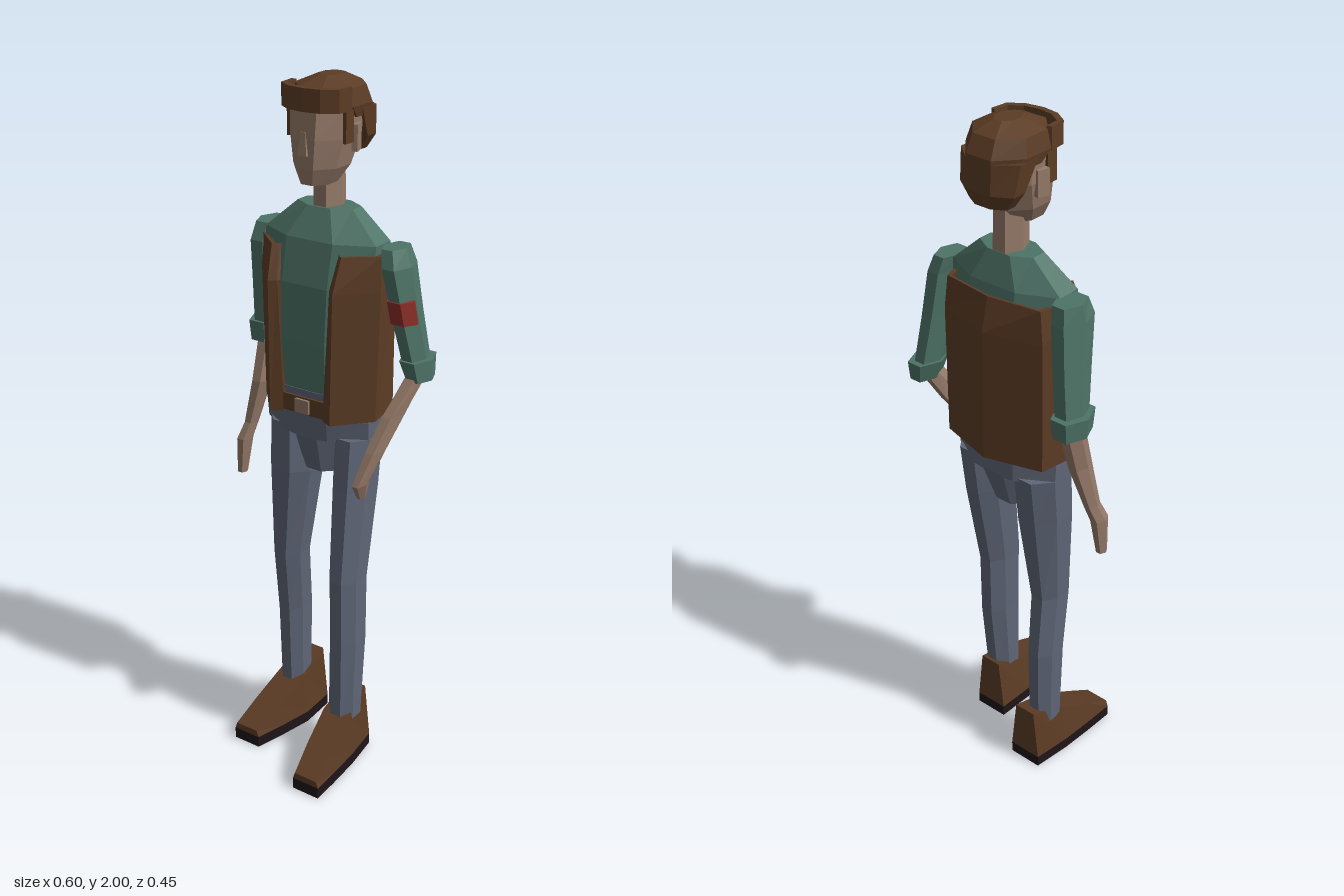
import * as THREE from 'three';

const mat = (name, color) => Object.assign(new THREE.MeshStandardMaterial({ color }), { name });

// Faceted skin over rings of equal, even point count, closed at both ends
function loftGeometry(rings) {
  const pos = [], n = rings[0].length;
  const quad = (a, b, c, d) => [a, b, c, a, c, d].forEach(p => pos.push(...p));
  for (let r = 0; r < rings.length - 1; r++) {
    const lo = rings[r], hi = rings[r + 1];
    for (let i = 0; i < n; i++) {
      const j = (i + 1) % n;
      quad(lo[i], lo[j], hi[j], hi[i]);
    }
  }
  const bottom = rings[0], top = rings[rings.length - 1];
  for (let i = 0; i < n / 2 - 1; i++) {
    quad(top[i], top[i + 1], top[n - 2 - i], top[n - 1 - i]);
    quad(bottom[n - 1 - i], bottom[n - 2 - i], bottom[i + 1], bottom[i]);
  }
  const g = new THREE.BufferGeometry();
  g.setAttribute('position', new THREE.Float32BufferAttribute(pos, 3));
  g.computeVertexNormals();
  return g;
}

// Horizontal polygon ring that fills the box x0..x1, z0..z1
function ring([y, x0, x1, z0, z1], n) {
  const off = n === 6 ? 0 : Math.PI / n;
  const kx = n === 6 ? 1 : Math.cos(off), kz = n === 6 ? Math.sin(Math.PI / 3) : kx;
  return Array.from({ length: n }, (_, i) => {
    const a = off + (i / n) * Math.PI * 2;
    return [
      (x0 + x1) / 2 + ((x1 - x0) / 2) * Math.cos(a) / kx, y,
      (z0 + z1) / 2 - ((z1 - z0) / 2) * Math.sin(a) / kz,
    ];
  });
}

export function createModel() {
  const model = new THREE.Group();
  model.name = 'standingMan';
  const skin = mat('skin', 0x957a69), shirt = mat('shirtGreen', 0x4e7367);
  const denim = mat('trouserBlue', 0x5f6677), brown = mat('leatherBrown', 0x5c3c25);
  const red = mat('armbandRed', 0x8e2f28), dark = mat('soleDark', 0x1e1417);
  const CX = -0.01;

  const add = (name, geometry, material) => {
    const m = new THREE.Mesh(geometry, material);
    m.name = name;
    model.add(m);
    return m;
  };
  const loft = (name, material, n, rows) =>
    add(name, loftGeometry(rows.map(r => ring(r, n))), material);
  // Rows: y, half width, back z, front z, about the body's centre line
  const centred = (name, material, n, rows) =>
    loft(name, material, n, rows.map(([y, w, z0, z1]) => [y, CX - w, CX + w, z0, z1]));

  // Head and neck
  centred('neck', skin, 6, [[1.62, 0.042, -0.155, -0.06], [1.78, 0.038, -0.15, -0.06]]);
  centred('head', skin, 8, [
    [1.73, 0.043, -0.11, 0.0], [1.775, 0.068, -0.15, 0.012], [1.85, 0.084, -0.185, 0.014],
    [1.93, 0.088, -0.19, 0.008], [1.97, 0.07, -0.17, -0.02],
  ]);
  centred('nose', skin, 4, [[1.81, 0.014, 0, 0.022], [1.87, 0.007, 0, 0.015]]);
  for (const s of [-1, 1]) {
    const ear = add('ear', new THREE.BoxGeometry(0.016, 0.07, 0.035), skin);
    ear.position.set(CX + s * 0.09, 1.85, -0.095);
    ear.rotation.y = s * 0.3;
  }

  // Hair: crown, back and raised fringe
  centred('hairCrown', brown, 8, [
    [1.9, 0.09, -0.222, -0.045], [1.93, 0.096, -0.222, -0.005],
    [1.975, 0.085, -0.2, -0.015], [2.0, 0.03, -0.15, -0.075],
  ]);
  centred('hairBack', brown, 8, [
    [1.8, 0.06, -0.21, -0.14], [1.84, 0.086, -0.222, -0.125], [1.92, 0.095, -0.222, -0.07],
  ]);
  for (const s of [-1, 1]) {
    add('sideburn', new THREE.BoxGeometry(0.01, 0.09, 0.035), brown)
      .position.set(CX + s * 0.088, 1.885, -0.06);
  }
  const band = (half, y, k) => {
    const outer = [...half, ...half.slice(0, -1).reverse().map(([x, z]) => [-x, z])];
    const inner = outer.map(([x, z]) => [x * k, (z + 0.1) * k - 0.1]).reverse();
    return [...outer, ...inner].map(([x, z]) => [CX + x, y, z]);
  };
  // The fringe runs around the front, from the man's right to his left
  const fringe = [[-0.095, -0.065], [-0.09, -0.015], [-0.05, 0.012], [0, 0.02]];
  add('hairFringe', loftGeometry([band(fringe, 1.922, 0.86), band(fringe, 1.982, 0.86)]), brown);

  // Shirt body
  centred('shirtBody', shirt, 8, [
    [1.13, 0.16, -0.19, 0.008], [1.3, 0.168, -0.2, 0.018], [1.46, 0.175, -0.2, 0.012],
    [1.58, 0.178, -0.18, -0.012], [1.66, 0.088, -0.155, -0.055],
  ]);

  // Open waistcoat: left front edge, around the back, to the right front edge
  const vestLow = [[0.065, 0.018], [0.1, 0.035], [0.185, -0.062], [0.165, -0.182], [0, -0.228]];
  const vestMid = [[0.085, 0.018], [0.105, 0.033], [0.195, -0.062], [0.165, -0.182], [0, -0.222]];
  const vestTop = [[0.1, -0.008], [0.112, 0.003], [0.192, -0.065], [0.155, -0.178], [0, -0.2]];
  add('waistcoat', loftGeometry([
    band(vestLow, 1.085, 0.93), band(vestMid, 1.46, 0.93), band(vestTop, 1.555, 0.93),
  ]), brown);

  // Belt and buckle
  centred('belt', brown, 8, [[1.09, 0.168, -0.198, 0.018], [1.14, 0.166, -0.196, 0.018]]);
  add('buckle', new THREE.BoxGeometry(0.045, 0.04, 0.01), skin).position.set(CX, 1.115, 0.021);

  // Trousers
  centred('hips', denim, 8, [
    [0.9, 0.06, -0.15, -0.035], [1.015, 0.085, -0.19, 0.003],
    [1.02, 0.17, -0.192, 0.003], [1.08, 0.172, -0.192, 0.01], [1.16, 0.163, -0.192, 0.012],
  ]);
  loft('leftLeg', denim, 8, [
    [0.14, 0.075, 0.16, -0.065, 0.035], [0.4, 0.072, 0.162, -0.09, 0.035],
    [0.6, 0.068, 0.16, -0.095, 0.035], [0.88, 0.052, 0.162, -0.15, 0.005],
    [1.03, 0.048, 0.162, -0.17, -0.01],
  ]);
  loft('rightLeg', denim, 8, [
    [0.14, -0.16, -0.08, -0.15, -0.05], [0.4, -0.165, -0.078, -0.157, -0.04],
    [0.6, -0.165, -0.07, -0.135, -0.015], [0.88, -0.176, -0.035, -0.165, -0.008],
    [1.03, -0.18, -0.038, -0.185, -0.015],
  ]);

  // Shoes: sections from heel to toe as z, inner x, outer x, top y
  const shoeRows = [
    [-0.085, 0.06, 0.162, 0.2], [0.03, 0.055, 0.178, 0.155],
    [0.14, 0.078, 0.185, 0.1], [0.225, 0.1, 0.188, 0.055],
  ];
  const section = (s, z, xi, xo, y0, y1, inset) => {
    const a = Math.min(s * xi, s * xo), b = Math.max(s * xi, s * xo);
    return [[a, y0, z], [b, y0, z], [b - inset, y1, z], [a + inset, y1, z]];
  };
  for (const [side, s, dz] of [['left', 1, 0], ['right', -1, -0.098]]) {
    add(side + 'Shoe', loftGeometry(shoeRows.map(([z, xi, xo, y]) =>
      section(s, z + dz, xi, xo, 0.035, y, Math.min(0.018, y * 0.12)))), brown);
    add(side + 'Sole', loftGeometry(shoeRows.map(([z, xi, xo]) =>
      section(s, z + dz, xi, xo, 0, 0.035, 0))), dark);
  }

  // Left arm, bent forward, with armband
  loft('leftSleeve', shirt, 6, [
    [1.24, 0.215, 0.28, -0.2, -0.11], [1.4, 0.195, 0.265, -0.175, -0.07],
    [1.53, 0.178, 0.252, -0.16, -0.045], [1.578, 0.168, 0.235, -0.15, -0.06],
  ]);
  loft('leftCuff', shirt, 6, [[1.205, 0.225, 0.295, -0.2, -0.11], [1.265, 0.203, 0.295, -0.212, -0.095]]);
  loft('armband', red, 6, [[1.375, 0.192, 0.274, -0.145, -0.07], [1.44, 0.185, 0.268, -0.135, -0.058]]);
  loft('leftForearm', skin, 6, [
    [0.89, 0.175, 0.195, 0.0, 0.03], [0.94, 0.175, 0.21, 0.0, 0.062],
    [1.03, 0.185, 0.235, -0.055, 0.02], [1.12, 0.2, 0.255, -0.12, -0.035],
    [1.23, 0.23, 0.285, -0.18, -0.12],
  ]);

  // Right arm, hanging
  loft('rightSleeve', shirt, 6, [
    [1.24, -0.28, -0.205, -0.19, -0.1], [1.4, -0.267, -0.19, -0.185, -0.075],
    [1.53, -0.258, -0.178, -0.178, -0.055], [1.58, -0.252, -0.175, -0.17, -0.075],
  ]);
  loft('rightCuff', shirt, 6, [[1.22, -0.29, -0.2, -0.2, -0.09], [1.28, -0.296, -0.195, -0.206, -0.085]]);
  loft('rightForearm', skin, 6, [
    [0.81, -0.3, -0.27, -0.075, -0.045], [0.92, -0.3, -0.255, -0.09, -0.04],
    [0.97, -0.285, -0.245, -0.105, -0.06], [1.1, -0.27, -0.215, -0.14, -0.075],
    [1.24, -0.27, -0.21, -0.18, -0.11],
  ]);

  return model;
}
